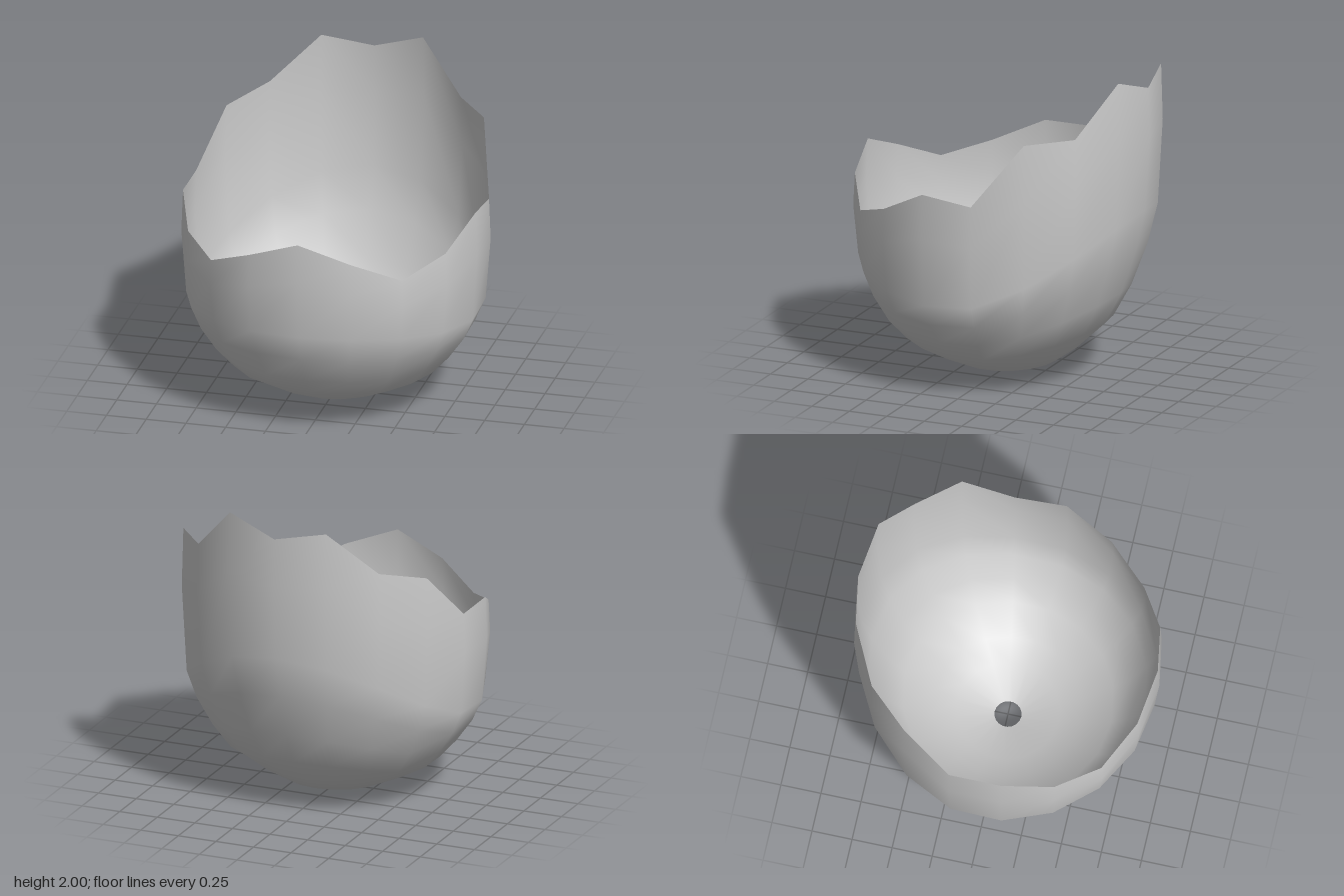
import * as THREE from 'three';

// Rim height of each of the 18 columns, from the front (+z) round through +x
const RIM = [1.33, 1.21, 1.07, 1.17, 1.33, 1.29, 1.69, 1.70, 2.0,
  1.89, 1.95, 1.68, 1.60, 1.285, 1.285, 1.15, 1.08, 1.21];

// Ring radii from the bottom hole to the rim, and ring heights at front, side and back
const RADIUS = [0.083, 0.315, 0.455, 0.645, 0.755, 0.853, 0.915, 0.945, 0.935];
const FRONT = [0, 0.065, 0.13, 0.24, 0.36, 0.54, 0.71];
const SIDE = [0, 0.06, 0.12, 0.22, 0.34, 0.475, 0.61];
const BACK = [0, 0.07, 0.17, 0.35, 0.56, 0.84, 1.11];

function ringHeight(ring, column, c) {
  const last = SIDE.length - 1;
  const k = Math.min(ring, last);
  const end = c > 0 ? FRONT : BACK;
  const y = THREE.MathUtils.lerp(SIDE[k], end[k], Math.abs(c) ** 1.7);
  if (ring <= last) return y;
  // The two top rings follow the jagged edge
  return THREE.MathUtils.lerp(y, RIM[column], ring === last + 1 ? 0.6 : 1);
}

function shellGeometry() {
  const n = RIM.length;
  const positions = [];
  const index = [];
  RADIUS.forEach((r, ring) => {
    for (let i = 0; i < n; i++) {
      const a = (i / n) * Math.PI * 2;
      positions.push(r * Math.sin(a), ringHeight(ring, i, Math.cos(a)), r * Math.cos(a));
    }
  });
  for (let ring = 0; ring < RADIUS.length - 1; ring++) {
    for (let i = 0; i < n; i++) {
      const a = ring * n + i;
      const b = ring * n + ((i + 1) % n);
      index.push(a, b, b + n, a, b + n, a + n);
    }
  }
  const geometry = new THREE.BufferGeometry();
  geometry.setAttribute('position', new THREE.Float32BufferAttribute(positions, 3));
  geometry.setIndex(index);
  geometry.computeVertexNormals();
  return geometry;
}

export function createModel() {
  const group = new THREE.Group();
  group.name = 'brokenEggshell';

  const shellGrey = new THREE.MeshStandardMaterial({ color: 0xcccccc, side: THREE.DoubleSide });
  shellGrey.name = 'shellGrey';

  // Thin open shell with a jagged rim and a small hole underneath
  const shell = new THREE.Mesh(shellGeometry(), shellGrey);
  shell.name = 'shell';
  group.add(shell);
  return group;
}
